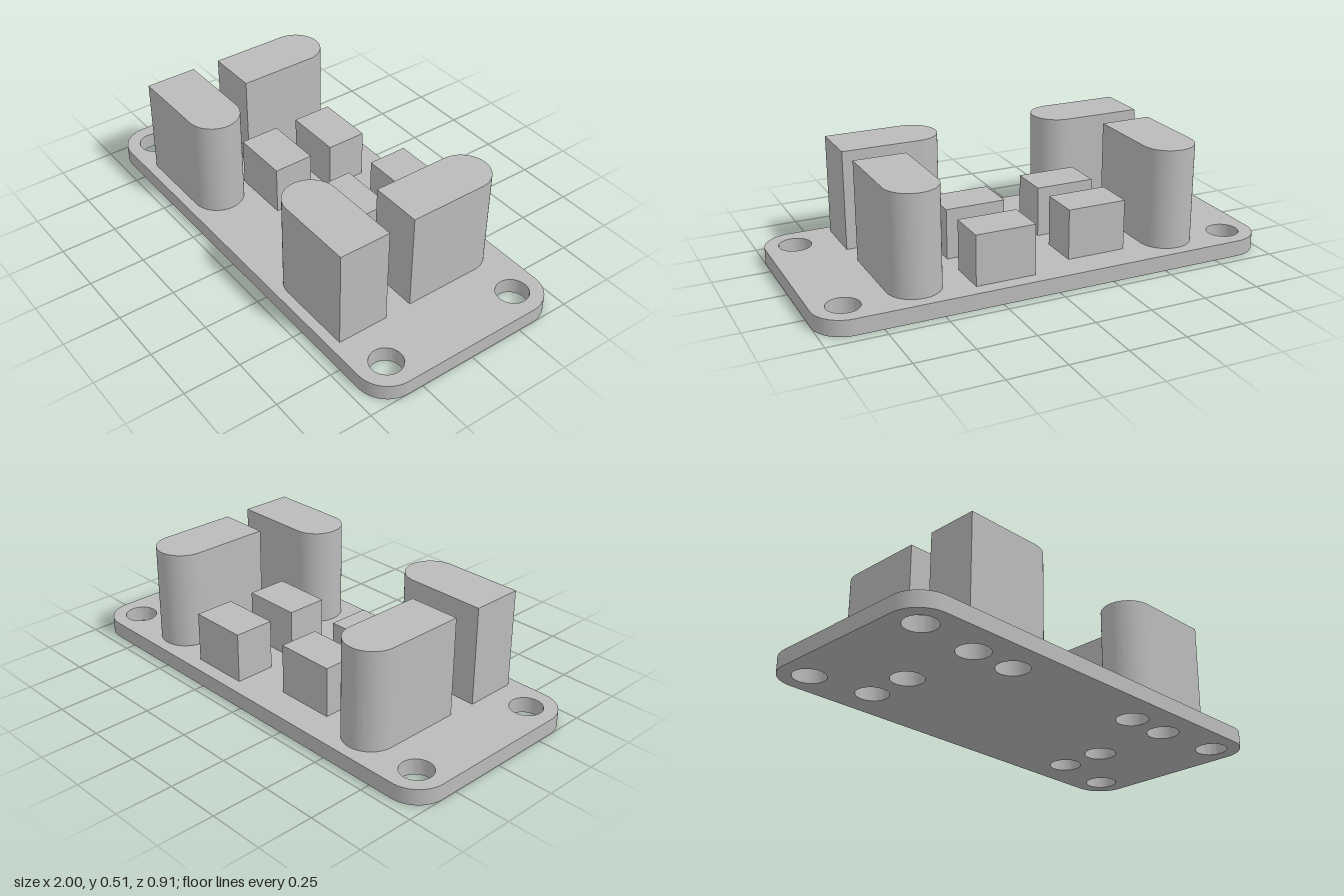
import * as THREE from 'three';
import { toCreasedNormals } from 'three/addons/utils/BufferGeometryUtils.js';

const PLATE_TOP = 0.07, TALL_TOP = 0.507, SMALL_TOP = 0.29, HOLE_R = 0.07;

// Extrude a plan outline drawn in (x, z) between two heights, with smooth curves and sharp edges
function extrudePlan(shape, y0, y1) {
  const geo = new THREE.ExtrudeGeometry(shape, { depth: y1 - y0, bevelEnabled: false, curveSegments: 24 });
  geo.rotateX(Math.PI / 2);
  geo.translate(0, y1, 0);
  return toCreasedNormals(geo, 0.6);
}

// Rounded rectangle outline
function roundedRect(hx, hz, r) {
  const s = new THREE.Shape();
  s.absarc(hx - r, hz - r, r, 0, Math.PI / 2, false);
  s.absarc(-hx + r, hz - r, r, Math.PI / 2, Math.PI, false);
  s.absarc(-hx + r, -hz + r, r, Math.PI, Math.PI * 1.5, false);
  s.absarc(hx - r, -hz + r, r, Math.PI * 1.5, Math.PI * 2, false);
  s.closePath();
  return s;
}

// Block outline, square at one end and half round at the other; angle points to the round end
function bulletShape(cx, cz, angle) {
  const r = 0.115, dx = Math.cos(angle), dz = Math.sin(angle);
  const at = (along, side) => [cx + dx * along - dz * side, cz + dz * along + dx * side];
  const s = new THREE.Shape();
  s.moveTo(...at(-0.23, -r));
  s.lineTo(...at(r, -r));
  s.absarc(...at(r, 0), r, angle - Math.PI / 2, angle + Math.PI / 2, false);
  s.lineTo(...at(-0.23, r));
  s.closePath();
  return s;
}

export function createModel() {
  const model = new THREE.Group();
  model.name = 'mountingPlate';
  const grey = new THREE.MeshStandardMaterial({ color: 0xbababa });
  grey.name = 'grey';
  const add = (name, geo) => {
    const mesh = new THREE.Mesh(geo, grey);
    mesh.name = name;
    model.add(mesh);
  };

  // Base plate: corner screw holes, plus a pair of holes under each tall block
  const plate = roundedRect(1, 0.456, 0.135);
  const holes = [
    [-0.87, -0.326], [0.87, -0.326], [-0.87, 0.326], [0.87, 0.326],
    [-0.588, -0.285], [-0.588, -0.07], [0.567, -0.285], [0.567, -0.07],
    [-0.58, 0.295], [-0.37, 0.295], [0.56, 0.295], [0.35, 0.295],
  ];
  for (const [x, z] of holes) {
    plate.holes.push(new THREE.Path().absarc(x, z, HOLE_R, 0, Math.PI * 2, true));
  }
  add('basePlate', extrudePlan(plate, 0, PLATE_TOP));

  // Tall blocks with one round end; they close the holes below them
  const tall = [
    ['backRightBlock', -0.588, -0.174, -Math.PI / 2],
    ['backLeftBlock', 0.567, -0.174, -Math.PI / 2],
    ['frontRightBlock', -0.479, 0.295, 0],
    ['frontLeftBlock', 0.457, 0.295, Math.PI],
  ];
  for (const [name, x, z, angle] of tall) {
    add(name, extrudePlan(bulletShape(x, z, angle), PLATE_TOP, TALL_TOP));
  }

  // Small inner blocks
  const small = [
    ['innerBackRightBlock', -0.242, -0.226],
    ['innerFrontRightBlock', -0.242, 0.059],
    ['innerBackLeftBlock', 0.211, -0.303],
    ['innerFrontLeftBlock', 0.211, -0.005],
  ];
  for (const [name, x, z] of small) {
    const h = SMALL_TOP - PLATE_TOP;
    add(name, new THREE.BoxGeometry(0.262, h, 0.18).translate(x, PLATE_TOP + h / 2, z));
  }
  return model;
}
